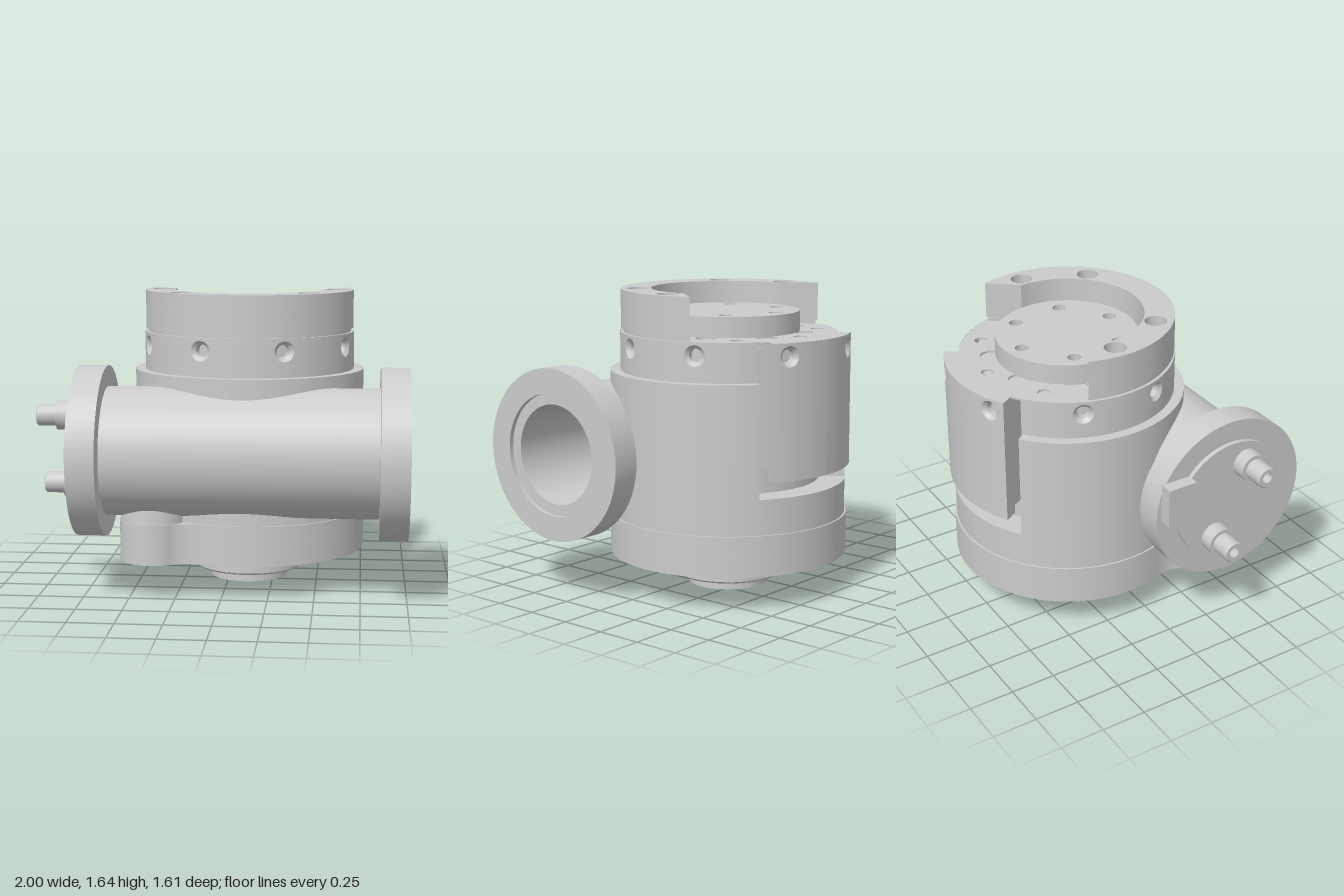
import * as THREE from 'three';
import { toCreasedNormals } from 'three/addons/utils/BufferGeometryUtils.js';
import { ParametricGeometry } from 'three/addons/geometries/ParametricGeometry.js';

const CX = 0.107, CZ = -0.135;              // vertical body axis
const TY = 0.785, TZ = 0.335, TR = 0.352;   // horizontal tube axis and radius
const rad = THREE.MathUtils.degToRad;
const solid = new THREE.MeshStandardMaterial({ color: 0xcccccc });
const open = new THREE.MeshStandardMaterial({ color: 0xcccccc, side: THREE.DoubleSide });

// Point around the body axis; angle 0 is the front, 90 degrees is +x
const polar = (r, a, y, t = new THREE.Vector3()) => t.set(CX + r * Math.sin(a), y, CZ + r * Math.cos(a));

export function createModel() {
  const model = new THREE.Group();

  const add = (name, geo, mat = solid, crease = 0.6) => {
    const mesh = new THREE.Mesh(crease ? toCreasedNormals(geo, crease) : geo, mat);
    mesh.name = name;
    model.add(mesh);
    return mesh;
  };

  const lathe = (pts, seg = 64) => new THREE.LatheGeometry(pts.map(p => new THREE.Vector2(...p)), seg);

  // Flat plate from an outline in (x, z), between two heights
  const slab = (name, shape, y0, y1) => {
    const g = new THREE.ExtrudeGeometry(shape, { depth: y1 - y0, bevelEnabled: false, curveSegments: 40 });
    add(name, g.rotateX(Math.PI / 2).translate(0, y1, 0));
  };
  const disc = (r, holes = []) => withHoles(new THREE.Shape().absarc(CX, CZ, r, 0, Math.PI * 2), holes);
  const withHoles = (shape, holes) => {
    for (const [x, z, r] of holes) shape.holes.push(new THREE.Path().absarc(x, z, r, 0, Math.PI * 2, true));
    return shape;
  };
  const ringOfHoles = (R, degs, r) => degs.map(d => [CX + R * Math.cos(rad(d)), CZ + R * Math.sin(rad(d)), r]);

  // Curved wall, flat ring sector and radial wall around the body axis
  const wall = (name, r, a0, a1, low, high, n = 160) => add(name, new ParametricGeometry((u, v, t) => {
    const a = rad(a0 + (a1 - a0) * u);
    polar(r, a, low(a) * (1 - v) + high(a) * v, t);
  }, n, 1), open, 0);
  const sector = (name, r0, r1, a0, a1, y) => add(name, new ParametricGeometry((u, v, t) =>
    polar(r0 + (r1 - r0) * v, rad(a0 + (a1 - a0) * u), y, t), 80, 1), open, 0);
  const radial = (name, r0, r1, a, y0, y1) => add(name, new ParametricGeometry((u, v, t) =>
    polar(r0 + (r1 - r0) * u, rad(a), y0 + (y1 - y0) * v, t), 1, 1), open, 0);

  // Curved panel with one countersunk screw hole
  const screwPanel = (name, R, a0, a1, y0, y1, ah, yh) => {
    const n = 12, u0 = R * rad(a0), u1 = R * rad(a1), uh = R * rad(ah);
    const corners = [[u0, y0], [u1, y0], [u1, y1], [u0, y1]];
    const rim = [];
    corners.forEach(([u, v], k) => {
      const [p, q] = corners[(k + 1) % 4];
      for (let i = 0; i < n; i++) rim.push([u + (p - u) * i / n, v + (q - v) * i / n]);
    });
    const loop = (t, r, depth) => rim.map(([u, v]) => {
      const b = Math.atan2(v - yh, u - uh);
      const cu = uh + r * Math.cos(b), cv = yh + r * Math.sin(b);
      return polar(R - depth, (u + (cu - u) * t) / R, v + (cv - v) * t);
    });
    const loops = [];
    for (let i = 0; i <= 6; i++) loops.push(loop(i / 6, 0.056, 0));
    loops.push(loop(1, 0.036, 0.02), loop(1, 0.036, 0.055), loop(1, 0.001, 0.055));
    const pos = loops.flat().flatMap(p => p.toArray()), idx = [], m = rim.length;
    for (let i = 0; i < loops.length - 1; i++) for (let j = 0; j < m; j++) {
      const a = i * m + j, b = i * m + (j + 1) % m;
      idx.push(a, b, b + m, a, b + m, a + m);
    }
    const g = new THREE.BufferGeometry();
    g.setAttribute('position', new THREE.Float32BufferAttribute(pos, 3));
    g.setIndex(idx);
    add(name, g, open, 0.5);
  };

  // Cylinder lying along x
  const rod = (name, r, x0, x1, y, z, seg = 32) => add(name,
    new THREE.CylinderGeometry(r, r, x1 - x0, seg).rotateZ(-Math.PI / 2).translate((x0 + x1) / 2, y, z));

  // Horizontal tube with flanges, open at +x and closed at -x
  add('crossTube', lathe([[0, -0.785], [0.465, -0.785], [0.465, -0.63], [TR, -0.63], [TR, 0.845], [0.465, 0.845],
    [0.465, 1], [0.33, 1], [0.33, 0.975], [0.27, 0.975], [0.27, -0.72], [0, -0.72]])
    .rotateZ(-Math.PI / 2).translate(0, TY, TZ));
  add('boreBoss', new THREE.CylinderGeometry(0.165, 0.165, 0.08, 32).rotateZ(-Math.PI / 2)
    .scale(1, 1, 0.5).translate(-0.69, 0.79, 0.53));

  // End plate with two connectors and a tab
  rod('endPlate', 0.345, -0.81, -0.78, TY, TZ, 64);
  for (const [y, z] of [[0.99, 0.42], [0.585, 0.23]]) {
    rod('connectorCollar', 0.08, -0.89, -0.8, y, z);
    add('connectorPin', lathe([[0, 0.08], [0.03, 0.08], [0.03, 0], [0.052, 0], [0.059, 0.008], [0.059, 0.12]], 32)
      .rotateZ(-Math.PI / 2).translate(-1, y, z));
  }
  add('endTab', new THREE.BoxGeometry(0.07, 0.22, 0.17).translate(-0.82, 0.895, -0.015));

  // Body wall, trimmed where it meets the tube, with a window at the back
  const cut = (a, s) => {
    const dz = CZ + 0.645 * Math.cos(a) - TZ;
    return TY + s * Math.sqrt(Math.max(0, TR * TR - dz * dz)) * 0.99;
  };
  wall('bodyUpper', 0.645, -144, 144, a => cut(a, 1), () => 1.2, 240);
  wall('bodyLower', 0.645, -144, 144, () => 0.4, a => cut(a, -1), 240);
  wall('windowSill', 0.645, 144, 216, () => 0.4, () => 0.6, 40);
  sector('windowFloor', 0.5, 0.645, 144, 216, 0.6);
  wall('windowBack', 0.5, 144, 216, () => 0.6, () => 1.4, 40);
  sector('bodyShoulder', 0.585, 0.645, -144, 144, 1.2);

  // Upper collar with radial screw holes
  for (const c of [-112.5, -67.5, -22.5, 22.5, 67.5, 112.5])
    screwPanel('collarPanel', 0.59, c - 22.5, c + 22.5, 1.2, 1.41, c, 1.34);
  for (const s of [-1, 1]) {
    wall('collarEnd', 0.59, s > 0 ? 135 : -144, s > 0 ? 144 : -135, () => 1.2, () => 1.41, 8);
    radial('windowSide', 0.5, 0.645, s * 144, 0.6, 1.2);
    radial('collarSide', 0.5, 0.59, s * 144, 1.2, 1.41);
  }
  slab('topPlate', disc(0.589, [[-0.24, -0.48, 0.035], [0.454, -0.48, 0.035], [0.107, -0.625, 0.035],
    [-0.05, -0.52, 0.06], [0.264, -0.52, 0.06], [-0.265, -0.3, 0.06], [0.479, -0.3, 0.06]]), 1.398, 1.41);
  slab('topPlateFloor', disc(0.525), 1.36, 1.37);

  // Back cover over the window
  screwPanel('coverPanel', 0.67, 150, 180, 0.69, 1.41, 157.5, 1.34);
  screwPanel('coverPanel', 0.67, 180, 210, 0.69, 1.41, 202.5, 1.34);
  sector('coverTop', 0.589, 0.67, 150, 210, 1.41);
  sector('coverBottom', 0.59, 0.67, 150, 210, 0.69);
  sector('coverInnerBottom', 0.5, 0.59, 150, 210, 0.74);
  wall('coverLip', 0.59, 150, 210, () => 0.69, () => 0.74, 40);
  for (const a of [150, 210]) {
    radial('coverSide', 0.59, 0.67, a, 0.69, 1.41);
    radial('coverInnerSide', 0.5, 0.59, a, 0.74, 1.398);
  }
  for (const x of [0.03, 0.2])
    add('windowFitting', new THREE.BoxGeometry(0.09, 0.08, 0.06).translate(x, 0.7, -0.67));

  // Open ring on top with counterbored holes
  const openRing = (ro, hole) => {
    const s = new THREE.Shape();
    s.absarc(CX, CZ, ro, rad(-20), rad(200), false);
    s.absarc(CX, CZ, 0.42, rad(186), rad(-6), true);
    return withHoles(s, hole ? ringOfHoles(0.49, [0, 45, 135, 180], hole) : []);
  };
  slab('ringGroove', openRing(0.572), 1.405, 1.43);
  slab('openRingLower', openRing(0.585, 0.03), 1.43, 1.57);
  slab('openRingUpper', openRing(0.585, 0.06), 1.57, 1.64);

  // Output disc with six holes
  slab('outputDiscCore', disc(0.39), 1.405, 1.46);
  slab('outputDisc', disc(0.39, ringOfHoles(0.3, [-97, -37, 23, 83, 143, 203], 0.037)), 1.46, 1.52);

  // Base with a rounded lobe blended into the round outline
  const at = (along, side) => [CX + (-along + side) * Math.SQRT1_2, CZ + (along + side) * Math.SQRT1_2];
  const base = (holes) => {
    const s = new THREE.Shape(), [lx, lz] = at(0.69, 0);
    s.absarc(CX, CZ, 0.655, rad(163), rad(467), false);
    s.quadraticCurveTo(...at(0.635, 0.2), ...at(0.722, 0.182));
    s.absarc(lx, lz, 0.185, rad(55), rad(215), false);
    s.quadraticCurveTo(...at(0.635, -0.2), ...at(0.578, -0.307));
    return withHoles(s, holes);
  };
  slab('baseUpper', base([]), 0.28, 0.41);
  slab('baseLower', base(ringOfHoles(0.57, [6, 96, 186, 276], 0.055)), 0.19, 0.28);
  const [lx, lz] = at(0.69, 0);
  add('lobeBoss', new THREE.CylinderGeometry(0.175, 0.183, 0.11, 40).translate(lx, 0.455, lz));

  // Stepped stem under the base
  add('stem', lathe([[0, 0.05], [0.04, 0.045], [0.085, 0], [0.22, 0], [0.22, 0.04], [0.17, 0.04], [0.17, 0.055],
    [0.29, 0.055], [0.3, 0.065], [0.3, 0.13], [0.29, 0.14], [0.255, 0.14], [0.255, 0.2]]).translate(CX, 0, CZ));

  return model;
}
